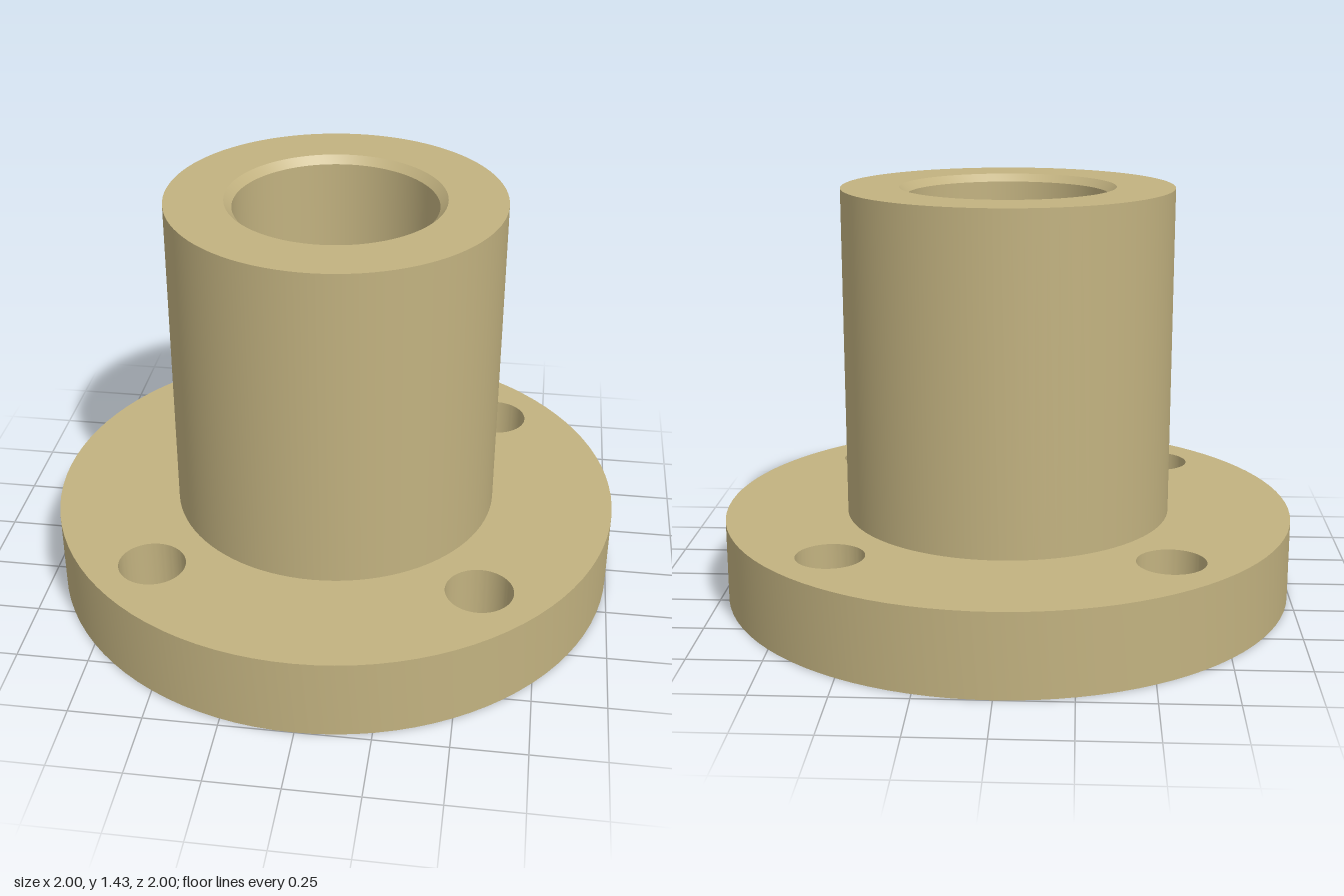
import * as THREE from 'three';
import { toCreasedNormals } from 'three/addons/utils/BufferGeometryUtils.js';

const SEGMENTS = 96;
const CREASE = 0.5;
const FLANGE_RADIUS = 1, FLANGE_HEIGHT = 0.286;
const BARREL_RADIUS = 0.571, TOTAL_HEIGHT = 1.43;
const BORE_RADIUS = 0.345, CHAMFER = 0.026;
const BOLT_RADIUS = 0.115, BOLT_OFFSET = 0.556;

function circle(PathType, x, y, radius) {
  return new PathType().absarc(x, y, radius, 0, Math.PI * 2, false);
}

export function createModel() {
  const group = new THREE.Group();
  group.name = 'flangedBushing';

  const sand = new THREE.MeshStandardMaterial({ color: 0xc2b280 });
  sand.name = 'sand';

  // Round flange with the central bore and four bolt holes
  const plate = circle(THREE.Shape, 0, 0, FLANGE_RADIUS);
  plate.holes.push(circle(THREE.Path, 0, 0, BORE_RADIUS));
  for (const sx of [-1, 1]) {
    for (const sy of [-1, 1]) {
      plate.holes.push(circle(THREE.Path, sx * BOLT_OFFSET, sy * BOLT_OFFSET, BOLT_RADIUS));
    }
  }
  const flangeGeometry = new THREE.ExtrudeGeometry(plate, {
    depth: FLANGE_HEIGHT, bevelEnabled: false, curveSegments: SEGMENTS / 2,
  });
  flangeGeometry.rotateX(-Math.PI / 2);
  const flange = new THREE.Mesh(toCreasedNormals(flangeGeometry, CREASE), sand);
  flange.name = 'flange';
  group.add(flange);

  // Hollow barrel: outer wall, top rim, chamfer, then down the bore
  const profile = [
    [BARREL_RADIUS, FLANGE_HEIGHT],
    [BARREL_RADIUS, TOTAL_HEIGHT],
    [BORE_RADIUS + CHAMFER, TOTAL_HEIGHT],
    [BORE_RADIUS, TOTAL_HEIGHT - CHAMFER],
    [BORE_RADIUS, FLANGE_HEIGHT],
  ].map(([x, y]) => new THREE.Vector2(x, y));
  const barrelGeometry = new THREE.LatheGeometry(profile, SEGMENTS);
  const barrel = new THREE.Mesh(toCreasedNormals(barrelGeometry, CREASE), sand);
  barrel.name = 'barrel';
  group.add(barrel);

  return group;
}
